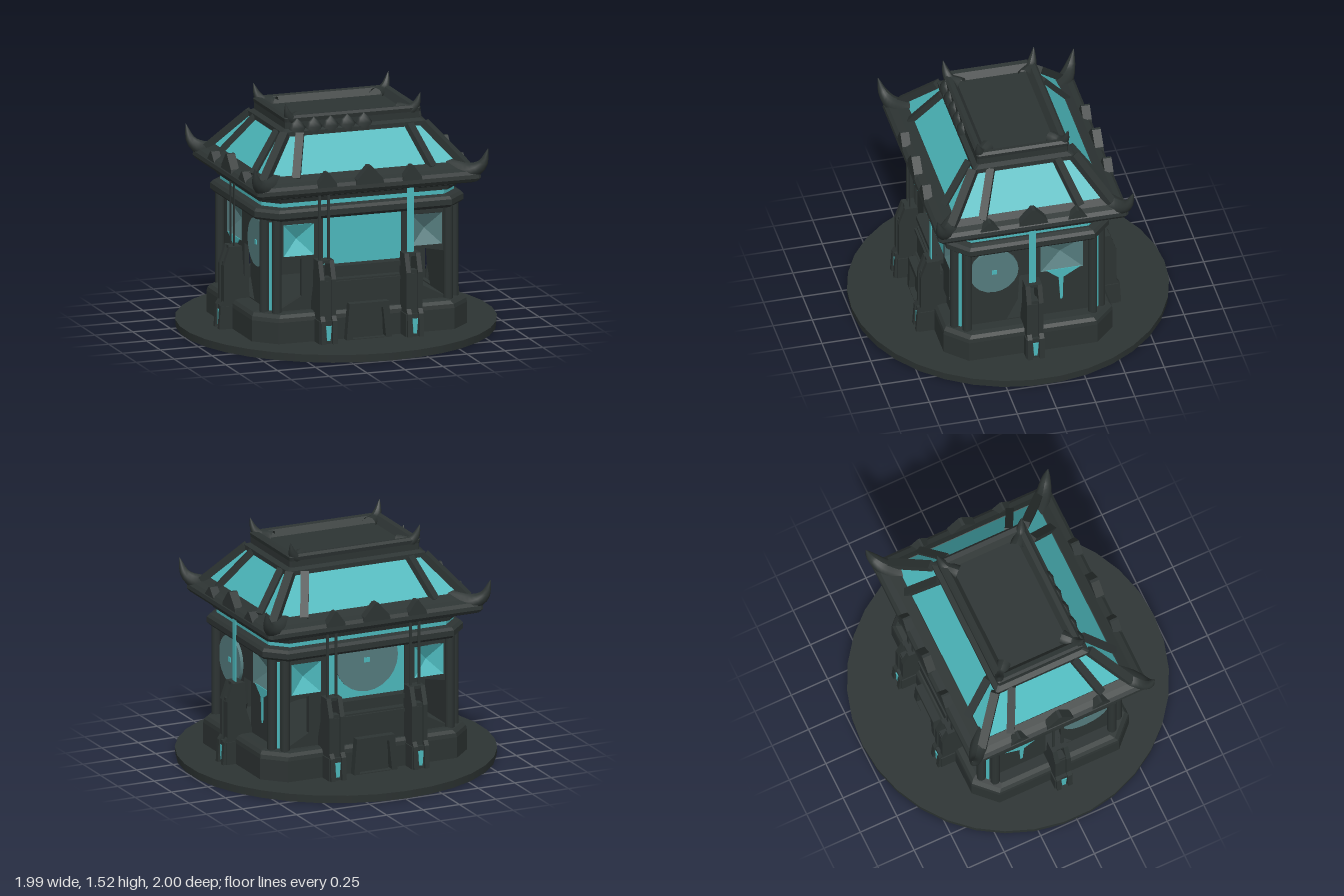
import * as THREE from 'three';

const material = (name, color) => {
  const m = new THREE.MeshStandardMaterial({ color, side: THREE.DoubleSide });
  m.name = name;
  return m;
};

export function createModel() {
  const dark = material('charcoal', 0x2d3433);
  const teal = material('teal glass', 0x4cb8bc);
  const dim = material('dull teal', 0x547b7d);
  const model = new THREE.Group();
  const house = new THREE.Group();
  house.name = 'house';
  house.position.z = 0.015;
  model.add(house);

  const add = (parent, name, geo, mat, x = 0, y = 0, z = 0) => {
    const mesh = new THREE.Mesh(geo, mat);
    mesh.name = name;
    mesh.position.set(x, y, z);
    parent.add(mesh);
    return mesh;
  };
  const box = (parent, name, mat, w, h, d, x, y, z) =>
    add(parent, name, new THREE.BoxGeometry(w, h, d), mat, x, y, z);

  // Square bar running between two points
  const bar = (parent, name, mat, a, b, w, h) => {
    const p = new THREE.Vector3(...a), q = new THREE.Vector3(...b);
    const mesh = new THREE.Mesh(new THREE.BoxGeometry(w, h, p.distanceTo(q)), mat);
    mesh.name = name;
    mesh.position.copy(p).lerp(q, 0.5);
    mesh.lookAt(q);
    parent.add(mesh);
  };

  // Loft through rectangles with cut corners: [y, halfX, halfZ, cut]
  const loft = (rings) => {
    const pos = [];
    const loops = rings.map(([y, x, z, c]) => [
      [x, y, z - c], [x - c, y, z], [c - x, y, z], [-x, y, z - c],
      [-x, y, c - z], [c - x, y, -z], [x - c, y, -z], [x, y, c - z]]);
    for (let r = 0; r + 1 < loops.length; r++) {
      for (let i = 0; i < 8; i++) {
        const j = (i + 1) % 8;
        const a = loops[r][i], b = loops[r][j], d = loops[r + 1][i], e = loops[r + 1][j];
        pos.push(...a, ...d, ...b, ...b, ...d, ...e);
      }
    }
    const g = new THREE.BufferGeometry();
    g.setAttribute('position', new THREE.Float32BufferAttribute(pos, 3));
    g.computeVertexNormals();
    return g;
  };

  // Flat plate with holes, facing +z
  const outline = (pts) => pts.map(([x, y]) => new THREE.Vector2(x, y));
  const plate = (pts, holes, depth) => {
    const s = new THREE.Shape(outline(pts));
    holes.forEach((h) => s.holes.push(new THREE.Path(outline(h))));
    return new THREE.ExtrudeGeometry(s, { depth, bevelEnabled: false });
  };
  const rect = (x0, x1, y0, y1) => [[x0, y0], [x1, y0], [x1, y1], [x0, y1]];

  // Upswept horn: a tube narrowed towards its tip
  const horn = (pts, radius) => {
    const curve = new THREE.CatmullRomCurve3(pts.map((p) => new THREE.Vector3(...p)));
    const n = 12, sides = 10;
    const g = new THREE.TubeGeometry(curve, n, radius, sides);
    const p = g.attributes.position, v = new THREE.Vector3();
    for (let i = 0; i <= n; i++) {
      const c = curve.getPointAt(i / n), k = 1 - 0.97 * (i / n) ** 1.8;
      for (let j = 0; j <= sides; j++) {
        const id = i * (sides + 1) + j;
        v.fromBufferAttribute(p, id).sub(c).multiplyScalar(k).add(c);
        p.setXYZ(id, v.x, v.y, v.z);
      }
    }
    g.computeVertexNormals();
    return g;
  };

  // Ground disc and plinth
  add(model, 'groundDisc', new THREE.CylinderGeometry(1, 0.995, 0.05, 34), dark, 0, 0.03, 0);
  add(house, 'plinth', loft([[0.05, 0.71, 0.54, 0.13], [0.19, 0.71, 0.54, 0.13], [0.215, 0.706, 0.536, 0.13],
    [0.235, 0.69, 0.52, 0.13], [0.243, 0.66, 0.49, 0.12], [0.243, 0, 0, 0]]), dark);

  // Inward-sloping window pane
  const pane = (parent, mat, x, y, z, w, h) => {
    const g = new THREE.ConeGeometry(Math.SQRT1_2, 1, 4, 1, true).toNonIndexed();
    g.rotateY(Math.PI / 4).rotateX(-Math.PI / 2);
    g.computeVertexNormals();
    add(parent, 'cornerWindow', g, mat, x, y, z).scale.set(w, h, 0.05);
  };

  // Buttress with a slotted face, a small lamp and a flat pole
  const buttress = (parent, x, out, lit) => {
    const g = new THREE.Group();
    g.name = 'buttress';
    g.position.set(x, 0, out);
    parent.add(g);
    const profile = [[-0.18, 0.05], [0.02, 0.05], [0.01, 0.2], [-0.01, 0.23], [-0.01, 0.46],
      [-0.05, 0.575], [-0.13, 0.575], [-0.14, 0.4], [-0.18, 0.27]];
    for (const s of [-1, 1]) {
      const cheek = add(g, 'buttressCheek', plate(profile, [], 0.03), dark, s * 0.038 + 0.015);
      cheek.rotation.y = -Math.PI / 2;
    }
    box(g, 'buttressCore', dark, 0.05, 0.4, 0.13, 0, 0.25, -0.085);
    box(g, 'buttressCrossbar', dark, 0.08, 0.025, 0.05, 0, 0.46, -0.05);
    box(g, 'buttressCap', dark, 0.08, 0.02, 0.07, 0, 0.565, -0.09);
    box(g, 'buttressFoot', dark, 0.12, 0.15, 0.15, 0, 0.125, -0.075);
    add(g, 'buttressLamp', plate([[-0.012, 0.075], [0.01, 0.075], [0.018, 0.17], [-0.018, 0.17]], [], 0.006),
      teal, 0, 0, 0.001);
    if (lit) box(g, 'lightPole', teal, 0.045, 0.42, 0.006, 0, 0.78, -0.085);
    else for (const s of [-1, 1]) box(g, 'pole', dark, 0.018, 0.42, 0.006, s * 0.03, 0.78, -0.085);
  };

  // Front and back walls
  for (const f of [1, -1]) {
    const wall = new THREE.Group();
    wall.name = f > 0 ? 'frontWall' : 'backWall';
    wall.rotation.y = f > 0 ? 0 : Math.PI;
    house.add(wall);
    const holes = [rect(-0.26, 0.26, 0.515, 0.82)];
    for (const s of [-1, 1]) {
      holes.push(rect(s * 0.325, s * 0.52, 0.59, 0.79));
      holes.push([[0.4, 0.33], [0.55, 0.25], [0.55, 0.54], [0.4, 0.57]].map(([x, y]) => [s * x, y]));
      pane(wall, f > 0 && s > 0 ? dim : teal, s * 0.422, 0.69, 0.445, 0.2, 0.2);
      buttress(wall, s * 0.285, 0.635, f > 0 && s > 0);
    }
    add(wall, 'wallPanel', plate(rect(-0.56, 0.56, 0.24, 0.83), holes, 0.03), dark, 0, 0, 0.43);
    box(wall, 'mainWindow', teal, 0.53, 0.31, 0.008, 0, 0.67, 0.442);
    if (f < 0) {
      // Large round pane whose top is hidden by the beam
      const d = add(wall, 'roundPane', new THREE.CylinderGeometry(0.215, 0.215, 0.008, 24), dim, 0, 0.76, 0.452);
      d.rotation.x = Math.PI / 2;
      box(wall, 'roundPaneCentre', teal, 0.04, 0.03, 0.004, 0, 0.75, 0.459);
    }
    box(wall, 'windowSill', dark, 0.5, 0.03, 0.07, 0, 0.5, 0.48);
    box(wall, 'counter', dark, 0.5, 0.2, 0.06, 0, 0.33, 0.48);
    box(wall, 'counterEdge', dark, 0.46, 0.02, 0.08, 0, 0.41, 0.485);
    // Trapezoid doorway
    add(wall, 'doorFrame', plate([[-0.15, 0.05], [0.15, 0.05], [0.13, 0.285], [-0.13, 0.285]],
      [[[-0.11, 0.06], [0.11, 0.06], [0.09, 0.25], [-0.09, 0.25]]], 0.05), dark, 0, 0, 0.54);
    box(wall, 'door', dark, 0.2, 0.19, 0.01, 0, 0.15, 0.55);
  }

  // Side walls, each with a round pane towards the front
  for (const s of [1, -1]) {
    const wall = new THREE.Group();
    wall.name = s > 0 ? 'leftWall' : 'rightWall';
    wall.rotation.y = s * Math.PI / 2;
    house.add(wall);
    const flip = (pts) => pts.map(([z, y]) => [-s * z, y]);
    add(wall, 'wallPanel', plate(flip(rect(-0.4, 0.4, 0.24, 0.83)), [
      flip(rect(-0.34, -0.08, 0.58, 0.79)),
      flip([[0.14, 0.25], [0.07, 0.39], [0.06, 0.57], [-0.04, 0.57], [-0.04, 0.25]])], 0.03), dark, 0, 0, 0.565);
    pane(wall, dim, s * 0.21, 0.685, 0.575, 0.27, 0.22);
    add(wall, 'windowDrip', plate(flip([[-0.11, 0.58], [-0.19, 0.515], [-0.2, 0.35], [-0.215, 0.35],
      [-0.22, 0.515], [-0.33, 0.58]]), [], 0.006), teal, 0, 0, 0.596);
    const disc = add(wall, 'roundPane', new THREE.CylinderGeometry(0.155, 0.155, 0.02, 20), dim, -s * 0.225, 0.64, 0.605);
    disc.rotation.x = Math.PI / 2;
    box(wall, 'roundPaneCentre', teal, 0.03, 0.03, 0.006, -s * 0.225, 0.64, 0.617);
    buttress(wall, 0, 0.775, s > 0);
  }

  // Corner posts with a narrow light strip between them
  for (const x of [-1, 1]) for (const z of [-1, 1]) {
    const post = new THREE.CylinderGeometry(0.03, 0.03, 0.6, 10);
    add(house, 'cornerPost', post, dark, x * 0.565, 0.53, z * 0.465);
    add(house, 'cornerPost', post, dark, x * 0.625, 0.53, z * 0.4);
    const back = box(house, 'cornerPanel', dark, 0.1, 0.6, 0.02, x * 0.585, 0.53, z * 0.425);
    const strip = box(house, 'cornerLight', teal, 0.018, 0.56, 0.008, x * 0.598, 0.53, z * 0.438);
    back.rotation.y = strip.rotation.y = x * z * Math.PI / 4;
  }

  // Rounded beam, light band and cornice
  add(house, 'beam', loft([[0.82, 0.58, 0.41, 0.1], [0.82, 0.65, 0.48, 0.11], [0.828, 0.675, 0.505, 0.115],
    [0.845, 0.69, 0.52, 0.12], [0.88, 0.69, 0.52, 0.12], [0.898, 0.675, 0.505, 0.115],
    [0.908, 0.65, 0.48, 0.11], [0.91, 0.58, 0.41, 0.1]]), dark);
  add(house, 'lightBand', loft([[0.9, 0.635, 0.475, 0.1], [0.95, 0.635, 0.475, 0.1]]), teal);
  add(house, 'cornice', loft([[0.938, 0.6, 0.44, 0.09], [0.938, 0.65, 0.49, 0.1], [0.965, 0.66, 0.5, 0.1],
    [0.975, 0.68, 0.52, 0.1], [1, 0.68, 0.52, 0.1]]), dark);

  // Rounded eaves and glazed roof
  add(house, 'eaves', loft([[0.99, 0.56, 0.4, 0.01], [0.99, 0.7, 0.57, 0.02], [1.0, 0.725, 0.595, 0.02],
    [1.02, 0.738, 0.608, 0.02], [1.045, 0.735, 0.605, 0.02], [1.065, 0.715, 0.585, 0.02], [1.08, 0.68, 0.545, 0.01],
    [1.11, 0.64, 0.485, 0.01], [1.09, 0.61, 0.45, 0.01]]), dark);
  add(house, 'roofGlass', loft([[1.08, 0.66, 0.5, 0.002], [1.33, 0.455, 0.31, 0.002]]), teal);
  for (const x of [-1, 1]) for (const z of [-1, 1]) {
    bar(house, 'hipRib', dark, [x * 0.67, 1.085, z * 0.51], [x * 0.46, 1.335, z * 0.32], 0.055, 0.045);
    bar(house, 'roofRib', dark, [x * 0.45, 1.09, z * 0.5], [x * 0.36, 1.33, z * 0.32], 0.052, 0.035);
    bar(house, 'roofRib', dark, [x * 0.66, 1.09, z * 0.31], [x * 0.465, 1.33, z * 0.21], 0.05, 0.04);
    add(house, 'eaveHorn', horn([[0.56, 1.06, 0.43], [0.68, 1.06, 0.55], [0.742, 1.105, 0.595],
      [0.77, 1.21, 0.625]].map(([a, b, c]) => [x * a, b, z * c]), 0.068), dark);
    add(house, 'crownHorn', horn([[0.33, 1.4, 0.2], [0.39, 1.405, 0.255], [0.423, 1.445, 0.275],
      [0.445, 1.52, 0.29]].map(([a, b, c]) => [x * a, b, z * c]), 0.045), dark);
  }

  // Pointed eave ornaments, three per side, the middle one tallest
  const ornament = (w, h) => plate([[-w, 0], [w, 0], [w * 0.85, h * 0.4], [w * 0.1, h], [-w * 0.1, h], [-w * 0.85, h * 0.4]], [], 0.055);
  for (let k = 0; k < 4; k++) {
    const side = new THREE.Group();
    side.name = 'eaveOrnaments';
    side.rotation.y = k * Math.PI / 2;
    house.add(side);
    const end = k % 2;
    for (const i of [-1, 0, 1])
      add(side, 'eaveOrnament', ornament(i ? 0.07 : 0.1, i ? (end ? 0.09 : 0.12) : 0.14), dark,
        i * 0.28, 1.02, end ? 0.675 : 0.55);
  }

  // Crown with a recessed top
  add(house, 'crown', loft([[1.315, 0.44, 0.29, 0.01], [1.315, 0.475, 0.32, 0.01], [1.345, 0.475, 0.32, 0.01],
    [1.36, 0.445, 0.29, 0.01], [1.4, 0.445, 0.29, 0.01], [1.425, 0.45, 0.295, 0.01], [1.44, 0.435, 0.28, 0.01],
    [1.435, 0.405, 0.25, 0.01], [1.395, 0.375, 0.22, 0.01], [1.395, 0, 0, 0]]), dark);

  // Row of petals along the front of the crown
  for (let i = 0; i < 5; i++) {
    const petal = new THREE.LatheGeometry(outline([[0.05, 0], [0.055, 0.04], [0.035, 0.07], [0, 0.1]]), 8);
    add(house, 'crownPetal', petal, dark, -0.37 + i * 0.11, 1.325, 0.295).scale.z = 0.6;
  }
  return model;
}
